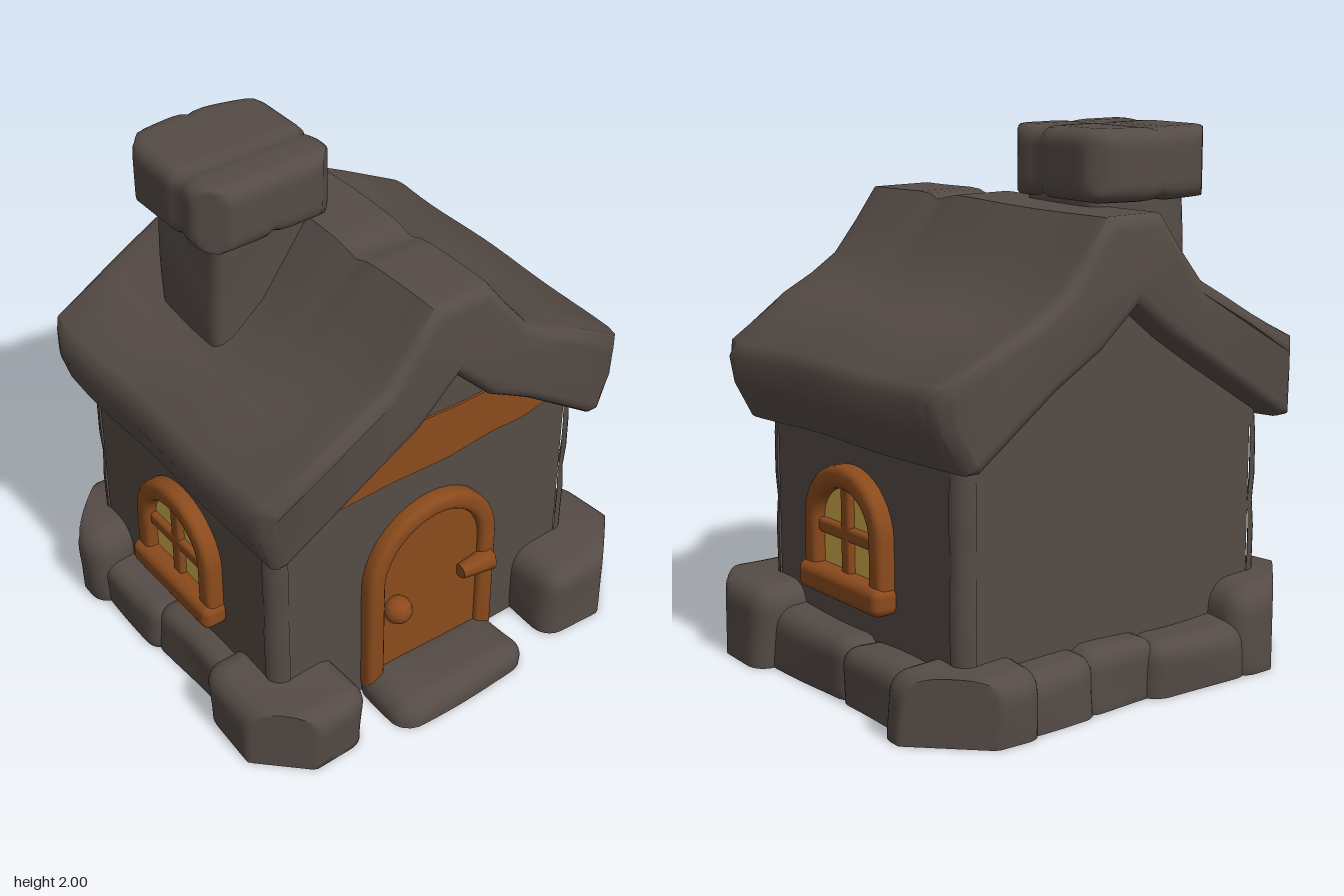
import * as THREE from 'three';
import { mergeVertices, toCreasedNormals } from 'three/addons/utils/BufferGeometryUtils.js';
import { RoundedBoxGeometry } from 'three/addons/geometries/RoundedBoxGeometry.js';

function paint(name, color) {
  const m = new THREE.MeshStandardMaterial({ color, side: THREE.DoubleSide });
  m.name = name;
  return m;
}
const stone = paint('stone grey', 0x554b46);
const wood = paint('wood brown', 0x8a4a1c);
const glass = paint('window yellow', 0xd2ac4c);

// Wall planes and the radius of the wall corners
const L = -0.65, R = 0.54, F = 0.715, B = -0.68, CORNER = 0.06;

function add(parent, name, geometry, material, x = 0, y = 0, z = 0) {
  const mesh = new THREE.Mesh(geometry, material);
  mesh.name = name;
  mesh.position.set(x, y, z);
  parent.add(mesh);
  return mesh;
}

// Move every vertex by a rule, then recompute soft normals
function deform(geo, rule, crease = 1) {
  const p = geo.attributes.position;
  const v = new THREE.Vector3();
  for (let i = 0; i < p.count; i++) {
    rule(v.fromBufferAttribute(p, i));
    p.setXYZ(i, v.x, v.y, v.z);
  }
  geo.deleteAttribute('normal');
  geo.deleteAttribute('uv');
  return toCreasedNormals(mergeVertices(geo, 1e-4), crease);
}

// Hand-cut wobble that depends only on position
function wobble(v, a) {
  const { x, y, z } = v;
  v.x += a * Math.sin(9 * y + 7 * z + 1);
  v.y += a * Math.sin(8 * x + 6 * z + 2);
  v.z += a * Math.sin(7 * x + 9 * y + 3);
}

// Cut the upright corners off diagonally around a centre
function chamfer(v, cx, cz, limit) {
  const dx = v.x - cx, dz = v.z - cz;
  const over = Math.max(0, Math.abs(dx) + Math.abs(dz) - limit) / 2;
  v.x -= Math.sign(dx) * over;
  v.z -= Math.sign(dz) * over;
}

// Finely divided rounded block, shaped further by a rule
function sculptedBlock([x0, x1, y0, y1, z0, z1], r, rule) {
  const half = new THREE.Vector3(x1 - x0, y1 - y0, z1 - z0).multiplyScalar(0.5);
  const core = half.clone().subScalar(r);
  const low = core.clone().negate();
  const inner = new THREE.Vector3();
  return deform(new THREE.BoxGeometry(x1 - x0, y1 - y0, z1 - z0, 18, 12, 18), v => {
    inner.copy(v).clamp(low, core);
    v.sub(inner).setLength(r).add(inner);
    v.x += (x0 + x1) / 2;
    v.y += (y0 + y1) / 2;
    v.z += (z0 + z1) / 2;
    rule(v);
  });
}

// Rounded ground stone, open underneath, inside the house and inside its neighbours
function groundStone([x0, x1, z0, z1, h, r], neighbours) {
  const geo = sculptedBlock([x0, x1, -r, h, z0, z1], r, v => {
    const lift = v.y;
    wobble(v, 0.008);
    chamfer(v, 0, 0, 1.45);
    v.y = lift < 0.001 ? 0 : Math.max(0.002, v.y);
  });
  const p = geo.attributes.position, n = geo.attributes.normal;
  const hidden = v => (v.x > L + 0.03 && v.x < R - 0.03 && v.z > B + 0.03 && v.z < F - 0.03) ||
    neighbours.some(s => v.x > s[0] + 0.02 && v.x < s[1] - 0.02 && v.z > s[2] + 0.02 && v.z < s[3] - 0.02 &&
      v.y < s[4] - 0.03 && Math.abs(v.x) + Math.abs(v.z) < 1.42);
  const pos = [], nor = [];
  for (let i = 0; i < p.count; i += 3) {
    const tri = [0, 1, 2].map(k => new THREE.Vector3().fromBufferAttribute(p, i + k));
    if (tri.every(v => v.y < 0.001) || tri.every(hidden)) continue;
    tri.forEach((v, k) => {
      pos.push(v.x, v.y, v.z);
      nor.push(n.getX(i + k), n.getY(i + k), n.getZ(i + k));
    });
  }
  const open = new THREE.BufferGeometry();
  open.setAttribute('position', new THREE.Float32BufferAttribute(pos, 3));
  open.setAttribute('normal', new THREE.Float32BufferAttribute(nor, 3));
  return open;
}

const polygon = pts => new THREE.Shape(pts.map(([x, y]) => new THREE.Vector2(x, y)));

// Arch outline points: straight sides, elliptical top
function archPoints(half, bottom, spring, top, cx = 0) {
  const pts = [[cx + half, bottom]];
  for (let i = 0; i <= 18; i++) {
    const a = Math.PI * i / 18;
    pts.push([cx + half * Math.cos(a), spring + (top - spring) * Math.sin(a)]);
  }
  pts.push([cx - half, bottom]);
  return pts;
}

function extrude(shape, depth, bevel = 0) {
  const geo = new THREE.ExtrudeGeometry(shape, {
    depth: depth - 2 * bevel, bevelEnabled: bevel > 0, bevelThickness: bevel,
    bevelSize: bevel, bevelOffset: -bevel, bevelSegments: 3,
  });
  geo.translate(0, 0, bevel);
  return toCreasedNormals(geo, 0.7);
}

// Horseshoe band between two arches that share a spring line
function archBand(outer, inner, bottom, spring, top, width) {
  return polygon([...archPoints(outer, bottom, spring, top),
    ...archPoints(inner, bottom, spring, top - width).reverse()]);
}

function makeWindow() {
  const g = new THREE.Group();
  g.name = 'window';
  add(g, 'windowFrame', extrude(archBand(0.245, 0.165, 0.36, 0.6, 0.83, 0.085), 0.085, 0.025), wood, 0, 0, -0.02);
  add(g, 'windowPanes', extrude(polygon(archPoints(0.18, 0.42, 0.6, 0.76)), 0.008), glass, 0, 0, 0.012);
  add(g, 'verticalBar', new RoundedBoxGeometry(0.058, 0.34, 0.05, 2, 0.015), wood, 0, 0.59, 0.02);
  add(g, 'horizontalBar', new RoundedBoxGeometry(0.35, 0.055, 0.05, 2, 0.015), wood, 0, 0.58, 0.02);
  add(g, 'windowSill', new RoundedBoxGeometry(0.51, 0.105, 0.11, 3, 0.035), wood, 0, 0.387, 0.035);
  return g;
}

// Long wall with a window opening, facing +z
function makeFacade(name, x0, x1, cx) {
  const g = new THREE.Group();
  g.name = name;
  const wall = polygon([[x0, 0.12], [x1, 0.12], [x1, 1], [x0, 1]]);
  wall.holes.push(polygon(archPoints(0.2, 0.4, 0.6, 0.79, cx)));
  add(g, 'longWall', new THREE.ShapeGeometry(wall), stone);
  const win = makeWindow();
  win.position.x = cx;
  g.add(win);
  return g;
}

function makeDoor() {
  const g = new THREE.Group();
  g.name = 'door';
  add(g, 'doorFrame', extrude(archBand(0.3, 0.225, 0.05, 0.53, 0.835, 0.075), 0.085, 0.025), wood, 0, 0, -0.025);
  add(g, 'doorPanel', extrude(polygon(archPoints(0.25, 0.05, 0.53, 0.78)), 0.035), wood, 0, 0, -0.005);
  add(g, 'doorKnob', new THREE.SphereGeometry(0.055, 14, 10), wood, -0.175, 0.4, 0.06);
  const latch = add(g, 'doorLatch', new THREE.CylinderGeometry(0.052, 0.03, 0.14, 8), wood, 0.2, 0.41, 0.05);
  latch.rotation.z = -Math.PI / 2;
  return g;
}

export function createModel() {
  const house = new THREE.Group();
  house.name = 'cottage';

  // Front and back walls
  const front = makeFacade('frontFacade', L + CORNER, R - CORNER, -0.03);
  front.position.z = F;
  const back = makeFacade('backFacade', CORNER - R, -L - CORNER, 0.02);
  back.position.z = B;
  back.rotation.y = Math.PI;
  house.add(front, back);

  // Gable walls; the door side reaches the ground between its stones
  const f = F - CORNER, b = B + CORNER;
  const doorSide = [[-f, 0.12], [-0.52, 0.12], [-0.52, 0], [0.5, 0], [0.5, 0.12], [-b, 0.12], [-b, 1], [0, 1.5], [-f, 1]];
  const plainSide = [[b, 0.12], [f, 0.12], [f, 1], [0, 1.5], [b, 1]];
  add(house, 'doorGable', new THREE.ShapeGeometry(polygon(doorSide)).rotateY(Math.PI / 2), stone, R);
  add(house, 'plainGable', new THREE.ShapeGeometry(polygon(plainSide)).rotateY(-Math.PI / 2), stone, L);

  // Uneven rounded wall corners
  const bulge = [[0, 0.12], [0.005, 0.3], [0.007, 0.5], [0, 0.6], [0.007, 0.7], [0.006, 0.85], [0, 0.93], [0, 1]]
    .map(([d, y]) => new THREE.Vector2(CORNER + d, y));
  [[R, F], [R, B], [L, B], [L, F]].forEach(([x, z], i) =>
    add(house, 'wallCorner', new THREE.LatheGeometry(bulge, 6, i * Math.PI / 2, Math.PI / 2), stone,
      x - Math.sign(x) * CORNER, 0, z - Math.sign(z) * CORNER));

  // Wooden band across the door gable
  const band = polygon([[-0.56, 1.0], [-0.47, 0.97], [-0.2, 0.975], [0.05, 0.965], [0.25, 0.985],
    [0.4, 0.98], [0.56, 1.01], [0.38, 1.19], [0.1, 1.185], [-0.15, 1.195], [-0.32, 1.18]]);
  add(house, 'gableBand', extrude(band, 0.009).rotateY(Math.PI / 2), wood, R);

  const door = makeDoor();
  door.position.set(R, 0, 0.03);
  door.rotation.y = Math.PI / 2;
  house.add(door);

  // Thick sagging roof swept along x
  const profile = polygon([[-0.11, 1.73], [0.13, 1.73], [0.22, 1.61], [0.32, 1.49], [0.43, 1.42], [0.55, 1.36],
    [0.81, 1.22], [0.84, 1.17], [0.81, 1.06], [0.72, 0.92], [0.67, 0.92], [0.35, 1.15], [0.16, 1.26], [0, 1.41],
    [-0.16, 1.27], [-0.35, 1.15], [-0.71, 0.92], [-0.76, 0.92], [-0.82, 1.08], [-0.82, 1.17], [-0.79, 1.21],
    [-0.56, 1.34], [-0.42, 1.42], [-0.31, 1.48], [-0.21, 1.6]]);
  const roof = new THREE.ExtrudeGeometry(profile, {
    depth: 1.32, steps: 24, bevelThickness: 0.05, bevelSize: 0.045, bevelOffset: -0.045, bevelSegments: 4,
  });
  roof.rotateY(Math.PI / 2).translate(-0.715, 0, 0);
  add(house, 'roof', deform(roof, v => {
    const low = Math.max(0, 1.3 - v.y);
    const midSlope = Math.exp(-(((Math.abs(v.z) - 0.5) / 0.17) ** 2)) * (v.z > 0 ? 0.06 : 0.015);
    const midSpan = Math.max(0, 1 - ((v.x + 0.06) / 0.68) ** 2);
    chamfer(v, -0.055, 0, 1.45);
    v.y += 0.004 * Math.sin(6 * v.x + 1) - midSlope * midSpan;
    if (v.y > 1.6) v.y -= 0.025 * Math.exp(-(((v.x - 0.21) / 0.05) ** 2));
    if (low > 0) v.y -= 0.02 * v.x;
    if (v.x > 0.5) v.x -= low * 0.07;
    v.z += 0.005 * Math.sin(9 * v.x);
  }, 0.85), stone);

  // Chimney stack, and a cap cut by grooves into rough stones
  add(house, 'chimneyStack', sculptedBlock([-0.46, -0.065, 1.24, 1.82, 0.05, 0.5], 0.05, v => wobble(v, 0.005)), stone);
  add(house, 'chimneyCap', sculptedBlock([-0.58, 0, 1.74, 2, 0, 0.565], 0.06, v => {
    const groove = 0.05 * Math.max(Math.exp(-(((v.x + 0.19) / 0.025) ** 2)),
      0.7 * Math.exp(-(((v.z - 0.28) / 0.025) ** 2)));
    if (v.x < -0.3) v.x += 0.7 * (v.z - 0.33) ** 2;
    chamfer(v, -0.28, 0.28, 0.47);
    v.y += (1.87 - v.y) * groove * 2;
    v.x += (-0.29 - v.x) * groove;
    v.z += (0.28 - v.z) * groove;
  }), stone);

  // Foundation stones: x0, x1, z0, z1, height, rounding
  const stones = [
    [-0.82, -0.44, 0.46, 0.88, 0.33, 0.09], [0.27, 0.76, 0.45, 0.87, 0.27, 0.08],
    [0.32, 0.77, -0.88, -0.42, 0.3, 0.08], [-0.81, -0.45, -0.88, -0.44, 0.25, 0.08],
    [-0.52, -0.1, 0.63, 0.83, 0.2, 0.06], [-0.15, 0.4, 0.63, 0.81, 0.21, 0.06],
    [-0.52, -0.1, -0.82, -0.61, 0.21, 0.07], [-0.15, 0.4, -0.81, -0.61, 0.23, 0.07],
    [-0.81, -0.58, 0.06, 0.54, 0.21, 0.08], [-0.77, -0.58, -0.22, 0.12, 0.22, 0.07],
    [-0.78, -0.58, -0.52, -0.17, 0.21, 0.07],
  ];
  for (const s of stones) add(house, 'foundationStone', groundStone(s, stones.filter(o => o !== s)), stone);
  add(house, 'doorstep', groundStone([0.5, 0.815, -0.28, 0.33, 0.1, 0.08], []), stone);
  return house;
}
